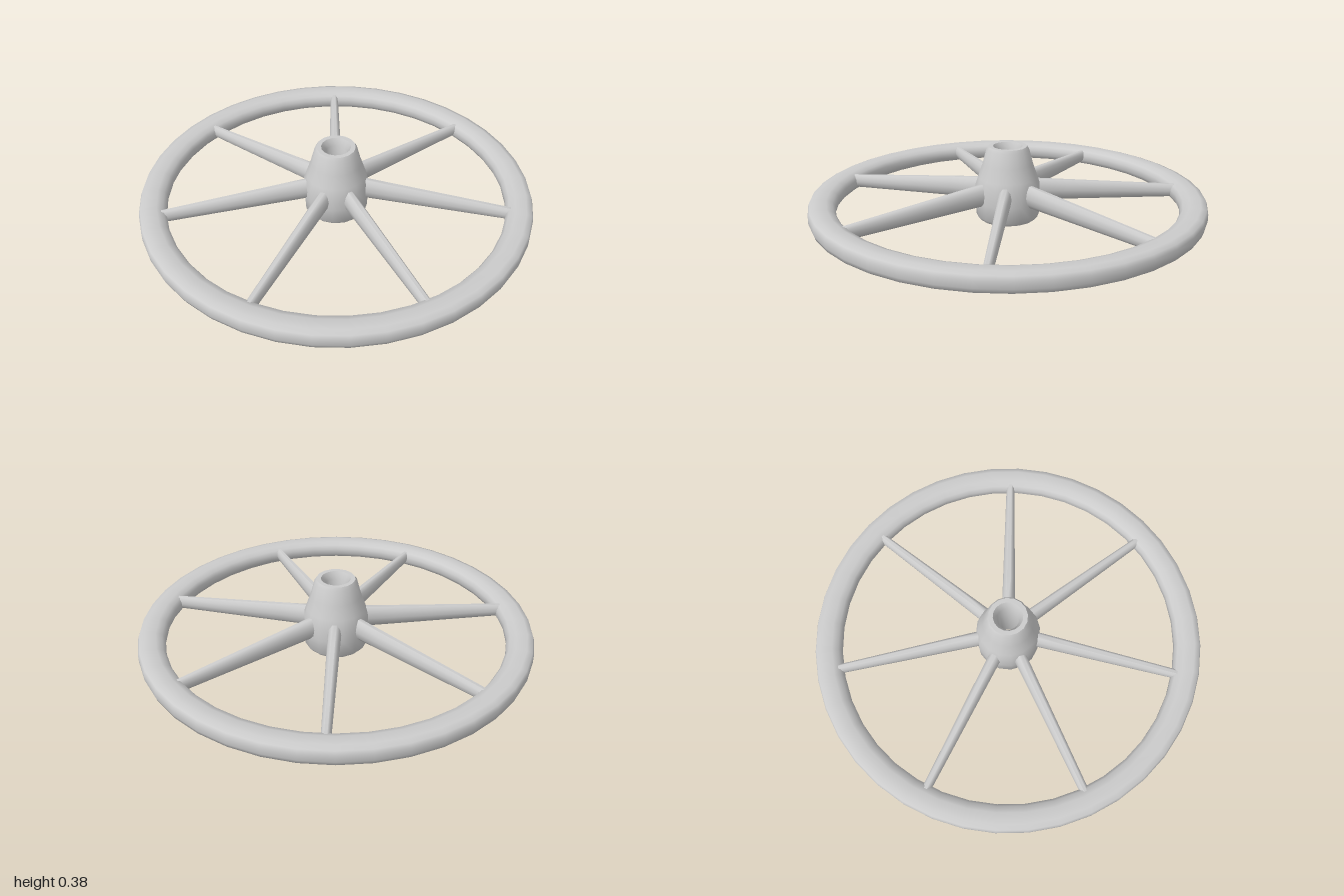
import * as THREE from 'three';
import { toCreasedNormals } from 'three/addons/utils/BufferGeometryUtils.js';

const material = new THREE.MeshStandardMaterial({ color: 0xcccccc });

// Closed ring turned around the y axis from [radius, height] pairs
function turned(name, profile, segments, crease) {
  const points = [...profile, profile[0]].map(([r, y]) => new THREE.Vector2(r, y));
  const geometry = toCreasedNormals(new THREE.LatheGeometry(points, segments), crease);
  const mesh = new THREE.Mesh(geometry, material);
  mesh.name = name;
  return mesh;
}

// Tapered oval spoke along +x, deep at the hub and slim at the rim
function spokeGeometry() {
  const start = 0.1, end = 0.91;
  const geometry = new THREE.CylinderGeometry(1, 1, 1, 10, 4);
  geometry.rotateZ(-Math.PI / 2);
  const p = geometry.attributes.position;
  for (let i = 0; i < p.count; i++) {
    const t = p.getX(i) + 0.5;
    const centre = THREE.MathUtils.lerp(0.148, 0.103, t);
    const halfHeight = THREE.MathUtils.lerp(0.06, 0.034, t);
    const halfWidth = THREE.MathUtils.lerp(0.035, 0.022, t);
    p.setXYZ(i, THREE.MathUtils.lerp(start, end, t),
      centre + p.getY(i) * halfHeight, p.getZ(i) * halfWidth);
  }
  return toCreasedNormals(geometry, 0.9);
}

export function createModel() {
  const wheel = new THREE.Group();
  wheel.name = 'wheel';

  // Rim with a flat outer face and rounded inner side
  wheel.add(turned('rim', [
    [0.91, 0.05], [0.965, 0.052], [0.993, 0.064], [1, 0.085], [1, 0.118],
    [0.992, 0.138], [0.965, 0.147], [0.91, 0.145], [0.88, 0.133],
    [0.867, 0.112], [0.867, 0.082], [0.88, 0.06],
  ], 40, 0.9));

  // Conical hub with a bore right through it
  wheel.add(turned('hub', [
    [0.085, 0], [0.145, 0], [0.162, 0.02], [0.166, 0.1], [0.165, 0.18],
    [0.152, 0.22], [0.128, 0.29], [0.108, 0.365], [0.098, 0.38],
    [0.075, 0.38], [0.056, 0.345], [0.056, 0.05],
  ], 16, 0.75));

  // Seven evenly spaced spokes
  const geometry = spokeGeometry();
  const count = 7;
  for (let i = 0; i < count; i++) {
    const spoke = new THREE.Mesh(geometry, material);
    spoke.name = `spoke${i + 1}`;
    spoke.rotation.y = (i / count) * Math.PI * 2;
    wheel.add(spoke);
  }
  return wheel;
}
